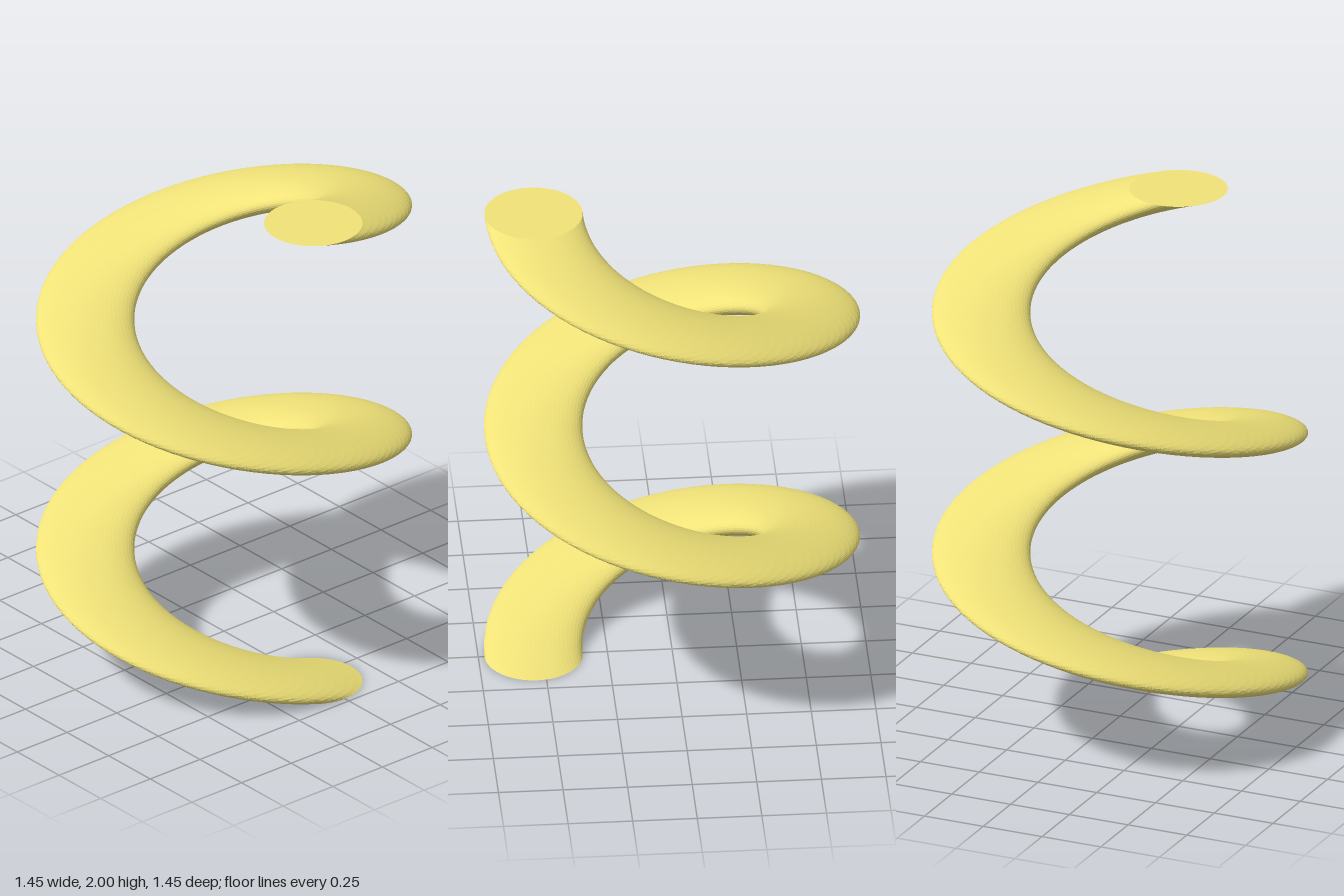
import * as THREE from 'three';

const HEIGHT = 2, TURNS = 2;
const HELIX_RADIUS = 0.536, DISC_RADIUS = 0.19;
const SIDES = 64, SLICES = 160;

// A horizontal disc, twisted around the y axis as it rises
function twistedColumn() {
  const positions = [], indices = [];
  const point = (slice, side, radius = DISC_RADIUS) => {
    const turn = (slice / SLICES) * TURNS * Math.PI * 2;
    const a = turn + (side / SIDES) * Math.PI * 2;
    positions.push(
      HELIX_RADIUS * Math.cos(turn) + radius * Math.cos(a),
      (slice / SLICES) * HEIGHT,
      HELIX_RADIUS * Math.sin(turn) + radius * Math.sin(a)
    );
  };

  for (let i = 0; i <= SLICES; i++) {
    for (let j = 0; j < SIDES; j++) point(i, j);
  }
  // Centres of the two flat ends
  const bottom = positions.length / 3, top = bottom + 1;
  point(0, 0, 0);
  point(SLICES, 0, 0);

  for (let j = 0; j < SIDES; j++) {
    const k = (j + 1) % SIDES;
    // Wall
    for (let i = 0; i < SLICES; i++) {
      const low = i * SIDES, high = low + SIDES;
      indices.push(low + j, high + j, high + k, low + j, high + k, low + k);
    }
    // Flat ends
    const last = SLICES * SIDES;
    indices.push(bottom, j, k, top, last + k, last + j);
  }

  const geometry = new THREE.BufferGeometry();
  geometry.setAttribute('position', new THREE.Float32BufferAttribute(positions, 3));
  geometry.setIndex(indices);
  const faceted = geometry.toNonIndexed();
  faceted.computeVertexNormals();
  return faceted;
}

export function createModel() {
  const group = new THREE.Group();
  group.name = 'helix';
  const material = new THREE.MeshStandardMaterial({ color: 0xf0e278, flatShading: true });
  const coil = new THREE.Mesh(twistedColumn(), material);
  coil.name = 'coil';
  group.add(coil);
  return group;
}
